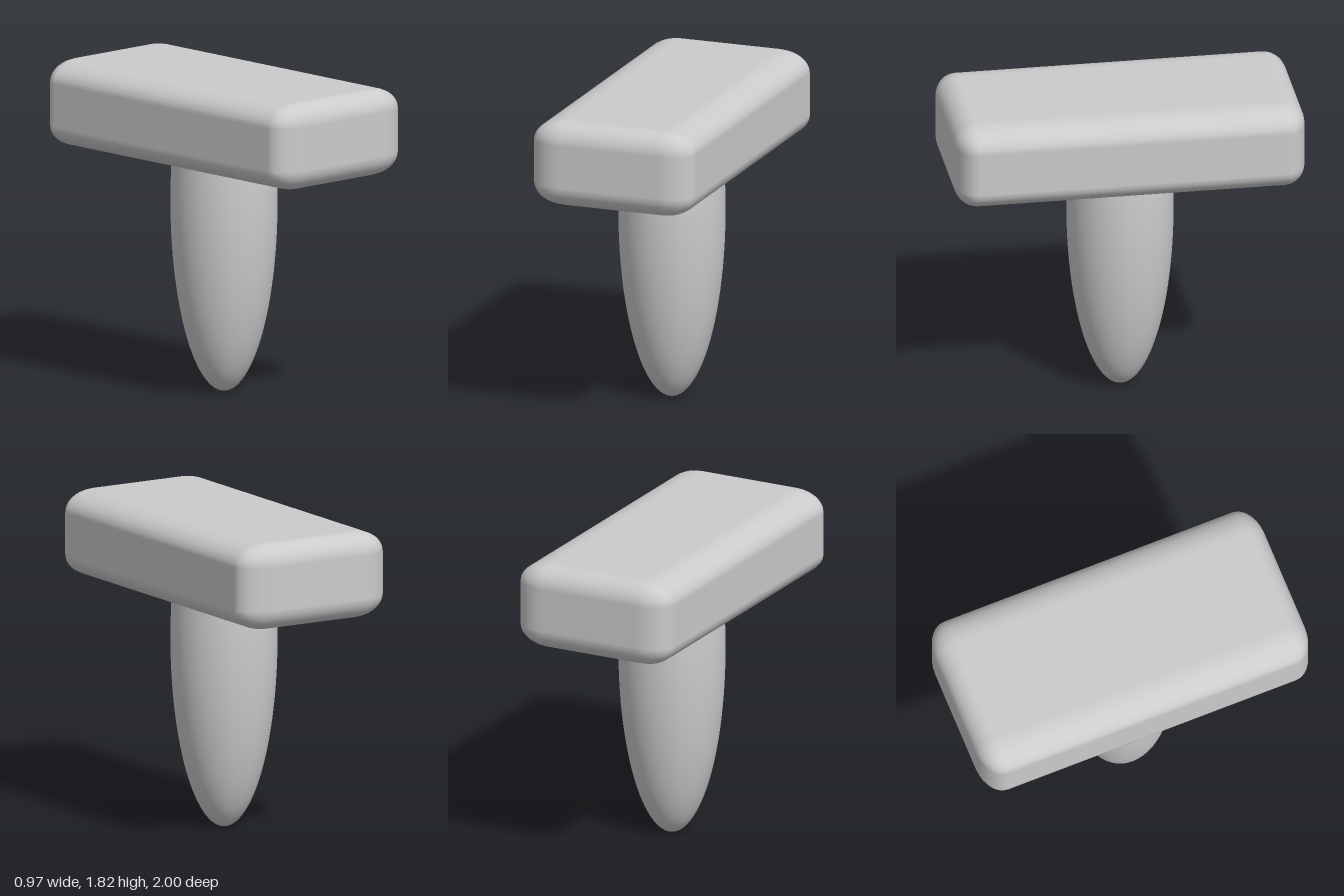
import * as THREE from 'three';
import { RoundedBoxGeometry } from 'three/addons/geometries/RoundedBoxGeometry.js';

export function createModel() {
  const group = new THREE.Group();
  const material = new THREE.MeshStandardMaterial({ color: 0xcccccc });

  // Head: rounded block, stretched sideways so its corners are wider in x
  const stretch = 1.5;
  const headGeometry = new RoundedBoxGeometry(0.975 / stretch, 0.495, 2, 4, 0.125);
  headGeometry.scale(stretch, 1, 1);
  const head = new THREE.Mesh(headGeometry, material);
  head.name = 'head';
  head.position.y = 1.573;
  group.add(head);

  // Handle: lower part of a tall ellipsoid, its cut end hidden inside the head
  const radius = 0.302, halfHeight = 1.09, cutY = 1.45;
  const start = Math.acos((cutY - halfHeight) / halfHeight);
  const handleGeometry = new THREE.SphereGeometry(1, 48, 32, 0, Math.PI * 2, start, Math.PI - start);
  handleGeometry.scale(radius, halfHeight, radius);
  const handle = new THREE.Mesh(handleGeometry, material);
  handle.name = 'handle';
  handle.position.y = halfHeight;
  group.add(handle);

  return group;
}
